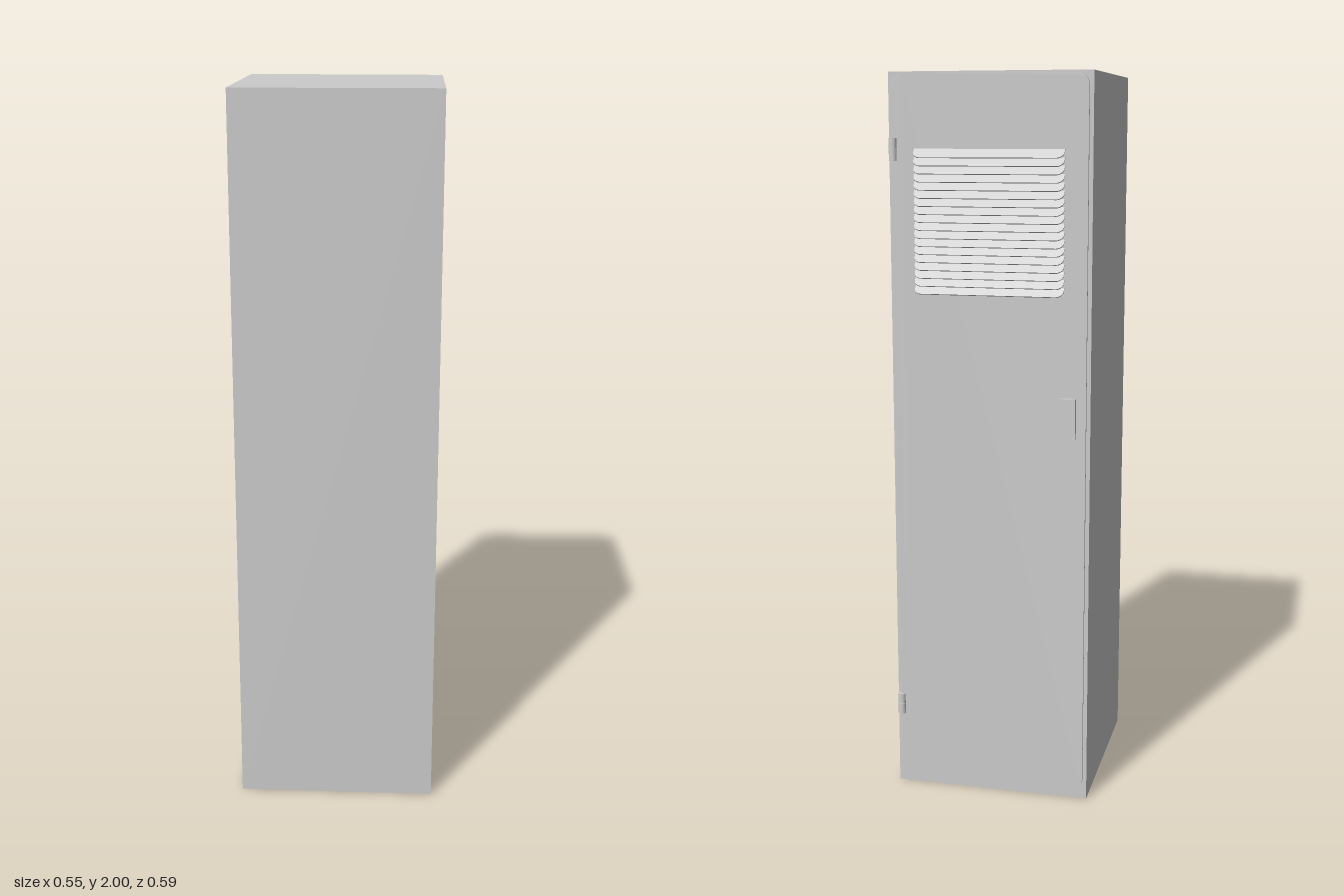
import * as THREE from 'three';

const grey = new THREE.MeshStandardMaterial({ color: 0xcccccc });

function add(parent, name, geometry, x = 0, y = 0, z = 0) {
  const mesh = new THREE.Mesh(geometry, grey);
  mesh.name = name;
  mesh.position.set(x, y, z);
  parent.add(mesh);
  return mesh;
}

// Rectangle from (-w/2, 0) to (w/2, h); bottom and top corner radii differ.
function roundedRect(w, h, rBottom, rTop) {
  const s = new THREE.Shape();
  const a = w / 2;
  s.moveTo(-a + rBottom, 0);
  s.lineTo(a - rBottom, 0);
  if (rBottom) s.absarc(a - rBottom, rBottom, rBottom, -Math.PI / 2, 0);
  s.lineTo(a, h - rTop);
  if (rTop) s.absarc(a - rTop, h - rTop, rTop, 0, Math.PI / 2);
  s.lineTo(-a + rTop, h);
  if (rTop) s.absarc(-a + rTop, h - rTop, rTop, Math.PI / 2, Math.PI);
  s.lineTo(-a, rBottom);
  if (rBottom) s.absarc(-a + rBottom, rBottom, rBottom, Math.PI, Math.PI * 1.5);
  return s;
}

const extrude = (shape, depth) =>
  new THREE.ExtrudeGeometry(shape, { depth, bevelEnabled: false, curveSegments: 10 });

export function createModel() {
  const model = new THREE.Group();
  model.name = 'cabinet';
  const back = -0.265;
  const doorFace = -0.273;

  // Cabinet body
  add(model, 'body', new THREE.BoxGeometry(0.55, 2, 0.558), 0, 1, 0.014);

  // Door panel with rounded corners
  add(model, 'door', extrude(roundedRect(0.528, 1.98, 0.04, 0.04), back - doorFace), 0, 0.02, doorFace);

  // Louvre: slats sloping down and outwards, with rounded outer corners
  const louvre = new THREE.Group();
  louvre.name = 'louvre';
  model.add(louvre);
  const count = 18, top = 1.8, bottom = 1.42, reach = 0.022, drop = 0.022;
  const slat = extrude(roundedRect(0.406, Math.hypot(reach, drop), 0, 0.02), 0.003);
  slat.rotateX(-Math.PI / 2 - Math.atan2(drop, reach));
  for (let i = 0; i < count; i++) {
    const y = top - (i / (count - 1)) * (top - bottom - drop);
    add(louvre, 'slat', slat, 0, y, doorFace);
  }

  // Door handle
  add(model, 'handle', new THREE.BoxGeometry(0.042, 0.11, 0.012), -0.216, 1.095, doorFace - 0.006);

  // Hinges: two stacked knuckles with a rounded outer face
  const profile = new THREE.Shape();
  profile.moveTo(-0.011, 0);
  profile.lineTo(0.011, 0);
  profile.lineTo(0.011, 0.006);
  profile.absarc(0, 0.006, 0.011, 0, Math.PI);
  const knuckle = extrude(profile, 0.0295).rotateX(-Math.PI / 2);
  for (const y of [0.21, 1.77]) {
    const hinge = new THREE.Group();
    hinge.name = 'hinge';
    hinge.position.set(0.263, y, back);
    model.add(hinge);
    for (const dy of [0, 0.0305]) add(hinge, 'knuckle', knuckle, 0, dy, 0);
    add(hinge, 'pin', new THREE.CylinderGeometry(0.008, 0.008, 0.058, 16), 0, 0.03, -0.006);
  }

  return model;
}
